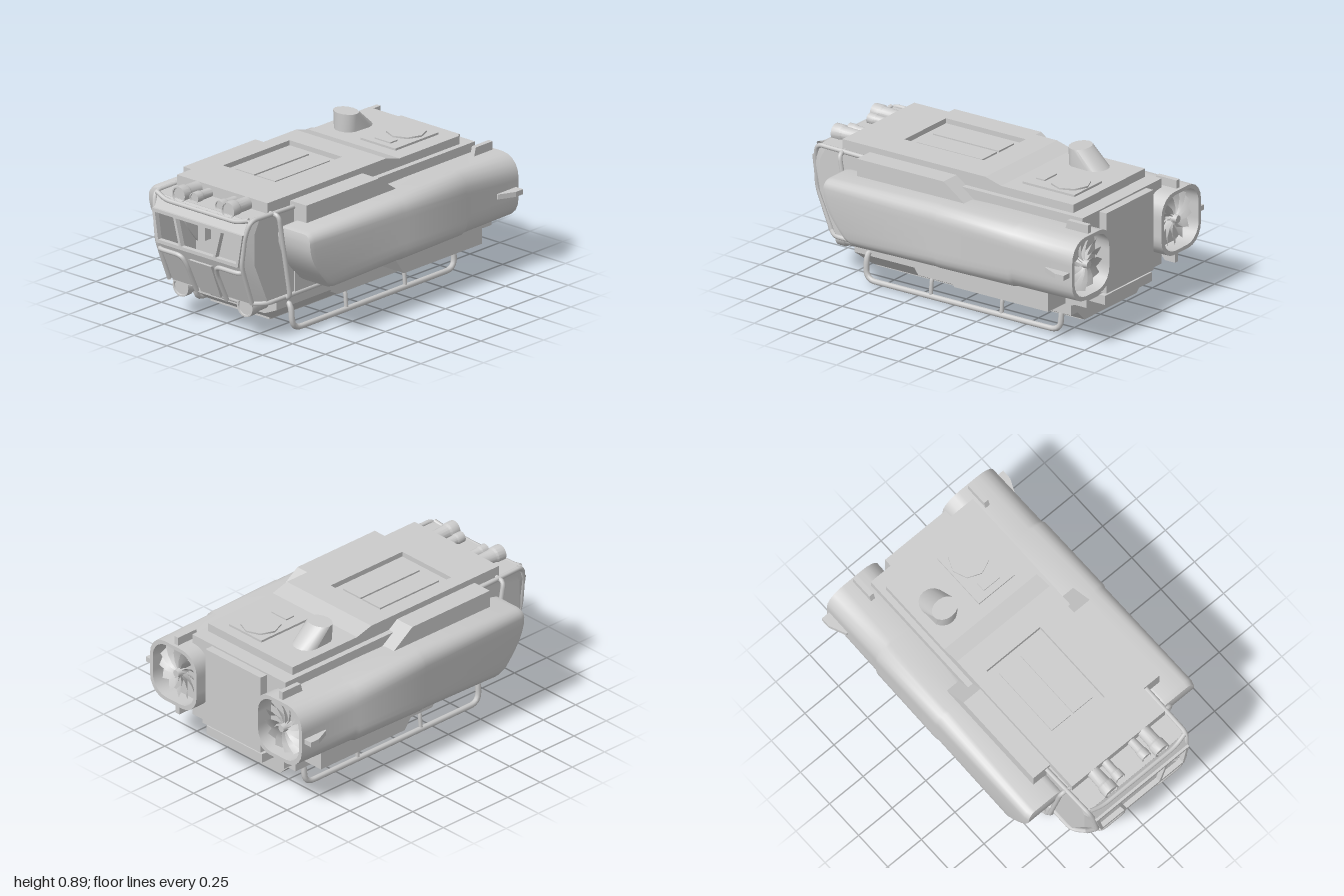
import * as THREE from 'three';
import { toCreasedNormals } from 'three/addons/utils/BufferGeometryUtils.js';

const mat = new THREE.MeshStandardMaterial({ color: 0xcccccc });
const thin = new THREE.MeshStandardMaterial({ color: 0xcccccc, side: THREE.DoubleSide });
const V = (x, y, z) => new THREE.Vector3(x, y, z);

function add(parent, name, geo, m = mat) {
  const mesh = new THREE.Mesh(geo, m);
  mesh.name = name;
  parent.add(mesh);
  return mesh;
}

// Box given by its limits on each axis
function box(parent, name, x0, x1, y0, y1, z0, z1) {
  const g = new THREE.BoxGeometry(x1 - x0, y1 - y0, z1 - z0);
  return add(parent, name, g.translate((x0 + x1) / 2, (y0 + y1) / 2, (z0 + z1) / 2));
}

// Side profile of [z, y] points carried from x0 to x1
function prism(parent, name, pts, x0, x1) {
  const shape = new THREE.Shape(pts.map(p => new THREE.Vector2(...p)));
  const g = new THREE.ExtrudeGeometry(shape, { depth: x1 - x0, bevelEnabled: false });
  return add(parent, name, g.rotateY(-Math.PI / 2).translate(x1, 0, 0));
}

// Bent pipe: straight runs with rounded corners, closed ends
function pipe(parent, name, pts, r = 0.014, bend = 0.04) {
  const path = new THREE.CurvePath();
  let from = pts[0];
  for (let i = 1; i < pts.length - 1; i++) {
    const p = pts[i];
    const cut = q => p.clone().add(q.clone().sub(p).setLength(Math.min(bend, p.distanceTo(q) * 0.45)));
    const a = cut(pts[i - 1]), b = cut(pts[i + 1]);
    path.add(new THREE.LineCurve3(from, a));
    path.add(new THREE.QuadraticBezierCurve3(a, p, b));
    from = b;
  }
  path.add(new THREE.LineCurve3(from, pts[pts.length - 1]));
  return add(parent, name, new THREE.TubeGeometry(path, pts.length * 12, r, 8), thin);
}

// Skin through rows of points; skip(i, j) leaves a quad open
function loft(rows, closed, caps, crease = 0.6, skip = () => false) {
  const n = rows[0].length, idx = [];
  const quad = (a, b, c, d) => idx.push(a, b, c, a, c, d);
  for (let i = 0; i < rows.length - 1; i++)
    for (let j = 0; j < (closed ? n : n - 1); j++) {
      const k = (j + 1) % n;
      if (!skip(i, j)) quad(i * n + j, i * n + k, (i + 1) * n + k, (i + 1) * n + j);
    }
  if (caps) for (let j = 0; j < n / 2 - 1; j++) {
    const e = (rows.length - 1) * n;
    quad(n - 1 - j, n - 2 - j, j + 1, j);
    quad(e + j, e + j + 1, e + n - 2 - j, e + n - 1 - j);
  }
  const g = new THREE.BufferGeometry();
  g.setAttribute('position', new THREE.Float32BufferAttribute(rows.flat().flatMap(p => p.toArray()), 3));
  g.setIndex(idx);
  return toCreasedNormals(g, crease);
}

// Rounded rectangle ring, up the outer side and down the inner side
function podRing(x0, x1, y0, y1, r, zAt) {
  const half = [], arc = 5, cx = (x0 + x1) / 2, hw = (x1 - x0) / 2;
  for (let i = 0; i <= arc; i++) {
    const a = -Math.PI / 2 * (1 - i / arc);
    half.push([hw - r + r * Math.cos(a), y0 + r + r * Math.sin(a)]);
  }
  for (let i = 1; i < 6; i++) half.push([hw, y0 + r + (y1 - y0 - 2 * r) * i / 6]);
  for (let i = 0; i <= arc; i++) {
    const a = Math.PI / 2 * i / arc;
    half.push([hw - r + r * Math.cos(a), y1 - r + r * Math.sin(a)]);
  }
  return [...half.map(([x, y]) => V(cx + x, y, zAt(y))),
    ...half.reverse().map(([x, y]) => V(cx - x, y, zAt(y)))];
}

// Engine pod with an open duct, fan and fins
function buildPod(side) {
  const at = z => () => z;
  const nose = y => 0.54 + 0.19 * Math.sin((y - 0.3) / 0.38 * 1.9);
  add(side, 'enginePod', loft([
    podRing(0.262, 0.598, 0.322, 0.658, 0.11, at(-0.9)),
    podRing(0.262, 0.598, 0.322, 0.658, 0.11, at(-1)),
    podRing(0.24, 0.62, 0.3, 0.68, 0.12, at(-1)),
    podRing(0.25, 0.622, 0.3, 0.68, 0.11, at(-0.58)),
    podRing(0.25, 0.63, 0.3, 0.68, 0.1, at(-0.56)),
    podRing(0.33, 0.63, 0.3, 0.68, 0.08, at(-0.06)),
    podRing(0.33, 0.624, 0.3, 0.68, 0.08, at(-0.04)),
    podRing(0.36, 0.624, 0.3, 0.675, 0.055, y => nose(y) - 0.03),
    podRing(0.36, 0.615, 0.308, 0.665, 0.05, nose)], true, true));

  const hub = new THREE.CylinderGeometry(0.022, 0.03, 0.07, 12).rotateX(-Math.PI / 2);
  add(side, 'fanHub', hub.translate(0.43, 0.49, -0.945));
  for (let k = 0; k < 13; k++) {
    const rows = [0.02, 0.065, 0.115, 0.163].map(r => [0, 0.5, 1].map(u => {
      const a = k / 13 * Math.PI * 2 + r * 3.5 + (u - 0.5) * 0.4;
      return V(0.43 + r * Math.cos(a), 0.49 + r * Math.sin(a), -0.955 + u * 0.04);
    }));
    add(side, 'fanBlade', loft(rows, false, false, 1), thin);
  }
  prism(side, 'topFin', [[-0.82, 0.66], [-0.84, 0.73], [-0.98, 0.73], [-0.98, 0.66]], 0.412, 0.442);
  prism(side, 'bottomFin', [[-0.82, 0.31], [-0.9, 0.23], [-0.97, 0.23], [-0.97, 0.31]], 0.412, 0.442);
  const fin = new THREE.Shape([[0.6, 0.82], [0.63, 0.82], [0.675, 0.92], [0.675, 0.98], [0.6, 0.98]]
    .map(p => new THREE.Vector2(...p)));
  add(side, 'sideFin', new THREE.ExtrudeGeometry(fin, { depth: 0.03, bevelEnabled: false })
    .rotateX(-Math.PI / 2).translate(0, 0.47, 0));
}

// Lamp with a stepped rim, pointing forward
function lamp(parent, name, x, y, z0, z1, r) {
  const pts = [[0, 0], [r * 0.8, 0], [r * 0.85, 0.6], [r, 0.68], [r, 1], [r * 0.84, 1], [r * 0.8, 0.95], [0, 0.95]];
  const g = new THREE.LatheGeometry(pts.map(([a, b]) => new THREE.Vector2(a, b * (z1 - z0))), 16);
  add(parent, name, toCreasedNormals(g.rotateX(Math.PI / 2).translate(x, y, z0), 0.5));
}

// Everything that appears on both sides
function buildSide() {
  const s = new THREE.Group();
  s.name = 'sideParts';
  buildPod(s);
  prism(s, 'shoulderBlock', [[0.6, 0.6], [0.6, 0.78], [0, 0.78], [-0.15, 0.675], [-0.15, 0.6]], 0.3, 0.47);
  prism(s, 'lowerSideBox', [[-0.04, 0.32], [-0.13, 0.195], [-0.78, 0.195], [-0.78, 0.32]], 0.36, 0.545);
  lamp(s, 'headlamp', 0.245, 0.19, 0.72, 0.87, 0.06);
  lamp(s, 'largeRoofLamp', 0.188, 0.775, 0.78, 0.95, 0.05);
  lamp(s, 'smallRoofLamp', 0.097, 0.77, 0.78, 0.92, 0.034);

  // Skid rail and its struts
  pipe(s, 'skidRail', [V(0.3, 0.17, 0.61), V(0.36, 0.17, 0.61), V(0.37, 0.017, 0.61),
    V(0.37, 0.017, -0.74), V(0.36, 0.16, -0.74), V(0.3, 0.16, -0.74)], 0.017, 0.07);
  for (const z of [0.16, -0.33]) pipe(s, 'skidStrut', [V(0.37, 0.017, z), V(0.36, 0.13, z), V(0.3, 0.15, z)], 0.012);

  // Cab cage
  pipe(s, 'cageHoop', [V(0.34, 0.75, 0.77), V(0.41, 0.75, 0.765), V(0.41, 0.23, 0.67), V(0.34, 0.23, 0.67)]);
  pipe(s, 'cornerPipe', [V(0.37, 0.75, 0.6), V(0.365, 0.755, 0.95), V(0.345, 0.67, 0.975),
    V(0.322, 0.48, 0.98), V(0.315, 0.23, 0.885)]);
  pipe(s, 'sillPipe', [V(0.375, 0.23, 0.31), V(0.375, 0.23, 0.82), V(0.315, 0.23, 0.885)]);
  pipe(s, 'frontGrabBar', [V(0.315, 0.435, 0.955), V(0.3, 0.435, 0.985), V(0.135, 0.435, 0.985),
    V(0.115, 0.38, 0.96), V(0.115, 0.2, 0.875)]);
  box(s, 'cabPillar', 0.26, 0.31, 0.4, 0.655, 0.6, 0.65);
  return s;
}

function buildCab(body) {
  // Wrapped shell, rows from top to bottom, with the windscreen left open
  const rows = [[0.75, 0.945, 0.355], [0.675, 0.985, 0.345], [0.48, 0.985, 0.318], [0.22, 0.87, 0.305]]
    .map(([y, z, w]) => [[-0.372, 0.55], [-0.372, z - 0.06], [-w, z], [w, z], [0.372, z - 0.06], [0.372, 0.55]]
      .map(([x, zz]) => V(x, y, zz)));
  add(body, 'cabShell', loft(rows, false, false, 0.3, (i, j) => i === 1 && j === 2), thin);
  box(body, 'cabRoof', -0.355, 0.355, 0.735, 0.752, 0.58, 0.945);
  box(body, 'cabFloor', -0.305, 0.305, 0.215, 0.235, 0.5, 0.87);

  // Windscreen frame with three panes
  const poly = pts => pts.map(p => new THREE.Vector2(...p));
  const frame = new THREE.Shape(poly([[-0.345, 0.675], [-0.31, 0.475], [0.31, 0.475], [0.345, 0.675]]));
  frame.holes.push(new THREE.Path(poly([[-0.165, 0.655], [0.165, 0.655], [0.122, 0.495], [-0.122, 0.495]])));
  for (const s of [-1, 1])
    frame.holes.push(new THREE.Path(poly([[0.182, 0.655], [0.322, 0.655], [0.297, 0.495], [0.139, 0.495]].map(([x, y]) => [s * x, y]))));
  add(body, 'windscreenFrame', new THREE.ExtrudeGeometry(frame, { depth: 0.03, bevelEnabled: false }).translate(0, 0, 0.97));
  pipe(body, 'browPipe', [V(-0.35, 0.755, 0.95), V(-0.27, 0.73, 0.965), V(0.27, 0.73, 0.965), V(0.35, 0.755, 0.95)]);

  // Sloped centre panel and bumper bar
  const panel = new THREE.Shape(poly([[-0.085, 0.42], [-0.075, 0.21], [0.075, 0.21], [0.085, 0.42]]));
  const g = new THREE.ExtrudeGeometry(panel, { depth: 0.02, bevelEnabled: false });
  const p = g.attributes.position;
  for (let i = 0; i < p.count; i++) p.setZ(i, p.getZ(i) + 0.87 + (p.getY(i) - 0.22) * 0.44);
  g.computeVertexNormals();
  add(body, 'frontPanel', g);
  pipe(body, 'bumperBar', [V(-0.15, 0.19, 0.7), V(-0.15, 0.145, 0.73), V(0.15, 0.145, 0.73), V(0.15, 0.19, 0.7)], 0.014, 0.02);
}

function buildRoof(body) {
  // Stepped roof around the recessed hatch
  prism(body, 'rearRoof', [[-0.05, 0.7], [-0.05, 0.815], [-0.2, 0.815], [-0.31, 0.785], [-0.81, 0.785], [-0.81, 0.7]], -0.345, 0.345);
  box(body, 'frontRoof', -0.345, 0.345, 0.7, 0.815, 0.505, 0.79);
  box(body, 'roofEdge', -0.345, -0.255, 0.7, 0.815, -0.05, 0.505);
  box(body, 'roofEdge', 0.145, 0.345, 0.7, 0.815, -0.05, 0.505);
  box(body, 'hatchFloor', -0.255, 0.145, 0.7, 0.785, -0.05, 0.505);
  for (const x of [-0.135, 0.025]) box(body, 'hatchPanel', x - 0.072, x + 0.072, 0.78, 0.795, 0.0, 0.455);

  // Octagonal hatch plate and vent stack
  box(body, 'hatchPlate', -0.02, 0.245, 0.78, 0.798, -0.745, -0.385);
  add(body, 'octagonHatch', new THREE.CylinderGeometry(0.115, 0.115, 0.01, 8).toNonIndexed().translate(0.11, 0.803, -0.625));
  box(body, 'hatchHandle', 0.05, 0.17, 0.79, 0.806, -0.485, -0.425);
  const vent = new THREE.CylinderGeometry(0.082, 0.082, 0.12, 16);
  const p = vent.attributes.position;
  for (let i = 0; i < p.count; i++) {
    const z = p.getZ(i);
    p.setZ(i, p.getY(i) > 0 ? -0.465 + z * 0.75 : z < 0.01 ? -0.58 + z : -0.486 + z);
  }
  add(body, 'ventStack', toCreasedNormals(vent.translate(-0.205, 0.832, 0), 0.6));
}

export function createModel() {
  const model = new THREE.Group();
  model.name = 'armouredHoverVehicle';
  const body = new THREE.Group();
  body.name = 'body';
  model.add(body);

  prism(body, 'hull', [[0.6, 0.22], [0.3, 0.22], [0.24, 0.13], [-0.82, 0.13], [-0.82, 0.19], [-0.9, 0.22],
    [-0.9, 0.735], [0.6, 0.735]], -0.38, 0.38);
  // Belly tray: tapered sections from back to front
  const tray = (z, low) => [[0.25, low], [0.34, 0.15], [0.34, 0.21], [-0.34, 0.21], [-0.34, 0.15], [-0.25, low]]
    .map(([x, y]) => V(x, y, z));
  add(body, 'bellyTray', loft([tray(-0.82, 0.065), tray(0.65, 0.065), tray(0.71, 0.11)], true, true, 0.3));
  box(body, 'bellyPlate', -0.225, 0.225, 0.048, 0.07, -0.78, 0.64);
  box(body, 'rearDoor', -0.23, 0.22, 0.24, 0.725, -0.95, -0.88);
  box(body, 'rearStep', -0.23, 0.22, 0.17, 0.225, -0.94, -0.8);
  buildCab(body);
  buildRoof(body);

  const left = buildSide();
  const right = left.clone();
  right.scale.x = -1;
  model.add(left, right);
  return model;
}
